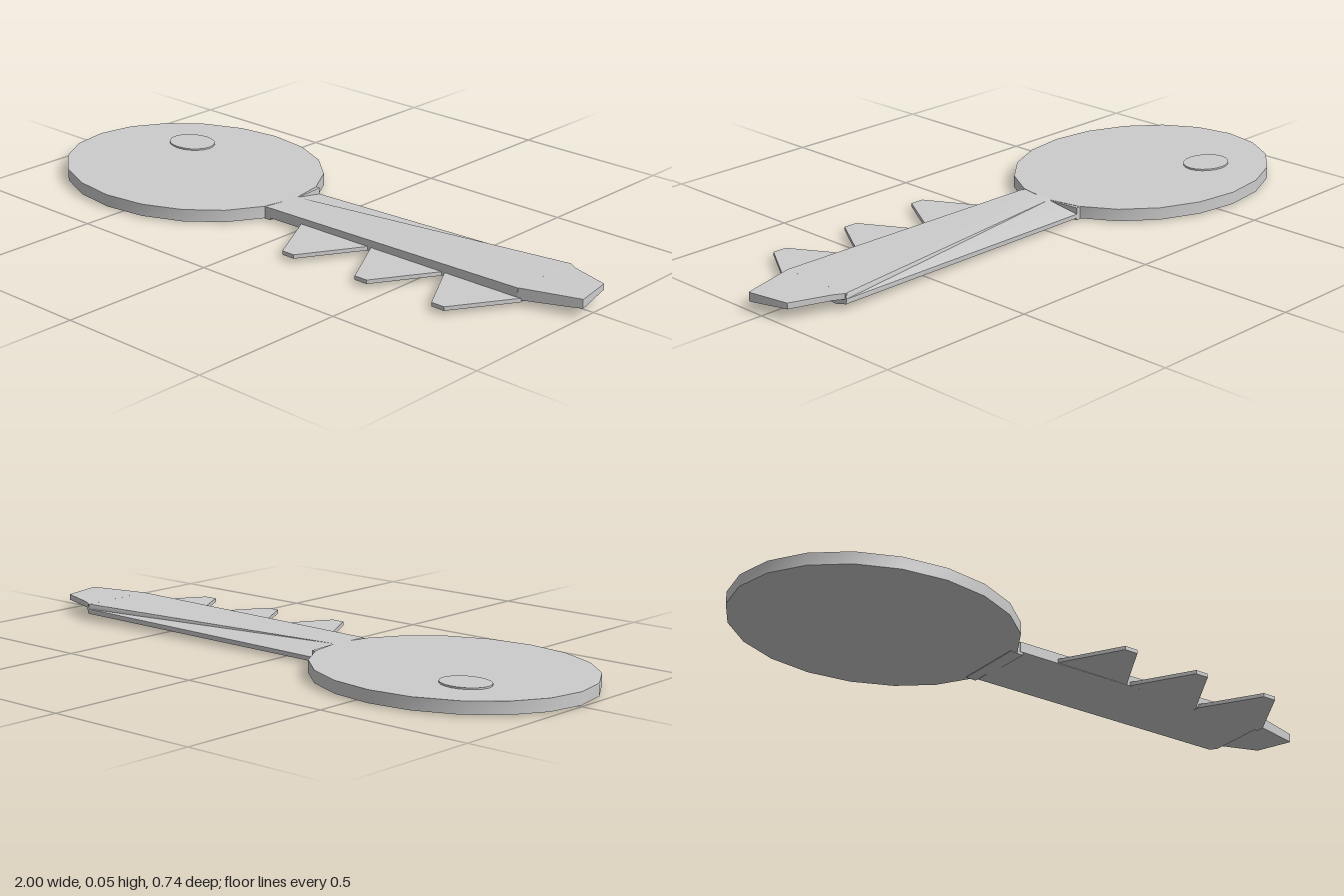
import * as THREE from 'three';
import { toCreasedNormals } from 'three/addons/utils/BufferGeometryUtils.js';

const material = new THREE.MeshStandardMaterial({ color: 0xcccccc });

function part(name, geometry) {
  const mesh = new THREE.Mesh(toCreasedNormals(geometry, 0.6), material);
  mesh.name = name;
  return mesh;
}

// Oval disc with its sides on a 20-gon
function disc(name, x, z, rx, rz, y0, y1) {
  const g = new THREE.CylinderGeometry(1, 1, y1 - y0, 20);
  g.scale(rx, 1, rz).translate(x, (y0 + y1) / 2, z);
  return part(name, g);
}

// Flat plate from an outline of [x, z] points
function plate(name, outline, y0, y1) {
  const shape = new THREE.Shape(outline.map(([x, z]) => new THREE.Vector2(x, -z)));
  const g = new THREE.ExtrudeGeometry(shape, { depth: y1 - y0, bevelEnabled: false });
  g.rotateX(-Math.PI / 2).translate(0, y0, 0);
  return part(name, g);
}

// Skin over cross-sections of [z, y] points, placed along x
function loft(name, sections) {
  const n = sections[0].ring.length;
  const positions = sections.flatMap(({ x, ring }) => ring.flatMap(([z, y]) => [x, y, z]));
  const index = [];
  for (let s = 0; s < sections.length - 1; s++) {
    for (let i = 0; i < n; i++) {
      const a = s * n + i, b = s * n + (i + 1) % n;
      index.push(a, a + n, b + n, a, b + n, b);
    }
  }
  const last = (sections.length - 1) * n;
  for (let i = 1; i < n - 1; i++) {
    index.push(0, i, i + 1, last, last + i + 1, last + i);
  }
  const g = new THREE.BufferGeometry();
  g.setAttribute('position', new THREE.Float32BufferAttribute(positions, 3));
  g.setIndex(index);
  return part(name, g);
}

export function createModel() {
  const key = new THREE.Group();
  key.name = 'key';

  // Oval grip with a small raised button
  key.add(disc('head', -0.558, 0, 0.442, 0.37, 0.004, 0.042));
  key.add(disc('headButton', -0.71, -0.137, 0.08, 0.066, 0.038, 0.047));

  // Blade: flat top, a ridge running diagonally, a sloping back and a keel below
  key.add(loft('blade', [
    { x: -0.125, ring: [[0.112, 0.042], [-0.01, 0.042], [-0.118, 0.021], [-0.118, 0.008], [-0.09, 0], [0, 0.004], [0.112, 0.01]] },
    { x: 0.82, ring: [[0.105, 0.053], [-0.138, 0.051], [-0.143, 0.036], [-0.14, 0.02], [-0.1, 0.01], [0, 0.012], [0.105, 0.016]] },
  ]));
  // Root of the blade, sunk into the head
  key.add(plate('bladeRoot', [[-0.16, 0.11], [-0.115, 0.11], [-0.115, -0.01], [-0.125, -0.118], [-0.16, -0.118]], 0.002, 0.041));

  // Thin pointed end
  key.add(loft('tip', [
    { x: 0.815, ring: [[0.105, 0.053], [-0.14, 0.051], [-0.14, 0.034], [0.105, 0.017]] },
    { x: 0.85, ring: [[0.095, 0.0535], [-0.12, 0.051], [-0.12, 0.034], [0.095, 0.019]] },
    { x: 0.975, ring: [[0.058, 0.055], [-0.08, 0.053], [-0.08, 0.035], [0.058, 0.026]] },
    { x: 1, ring: [[0.05, 0.055], [0.045, 0.055], [0.045, 0.028], [0.05, 0.028]] },
  ]));

  // Three teeth along the front edge
  for (let i = 0; i < 3; i++) {
    const x = 0.01 + i * 0.276;
    const z = 0.3 - i * 0.005;
    key.add(plate('tooth' + (i + 1), [
      [x, 0.08], [x, 0.105], [x + 0.108, z], [x + 0.153, z], [x + 0.268, 0.105], [x + 0.268, 0.08],
    ], 0.013, 0.025));
  }
  return key;
}
